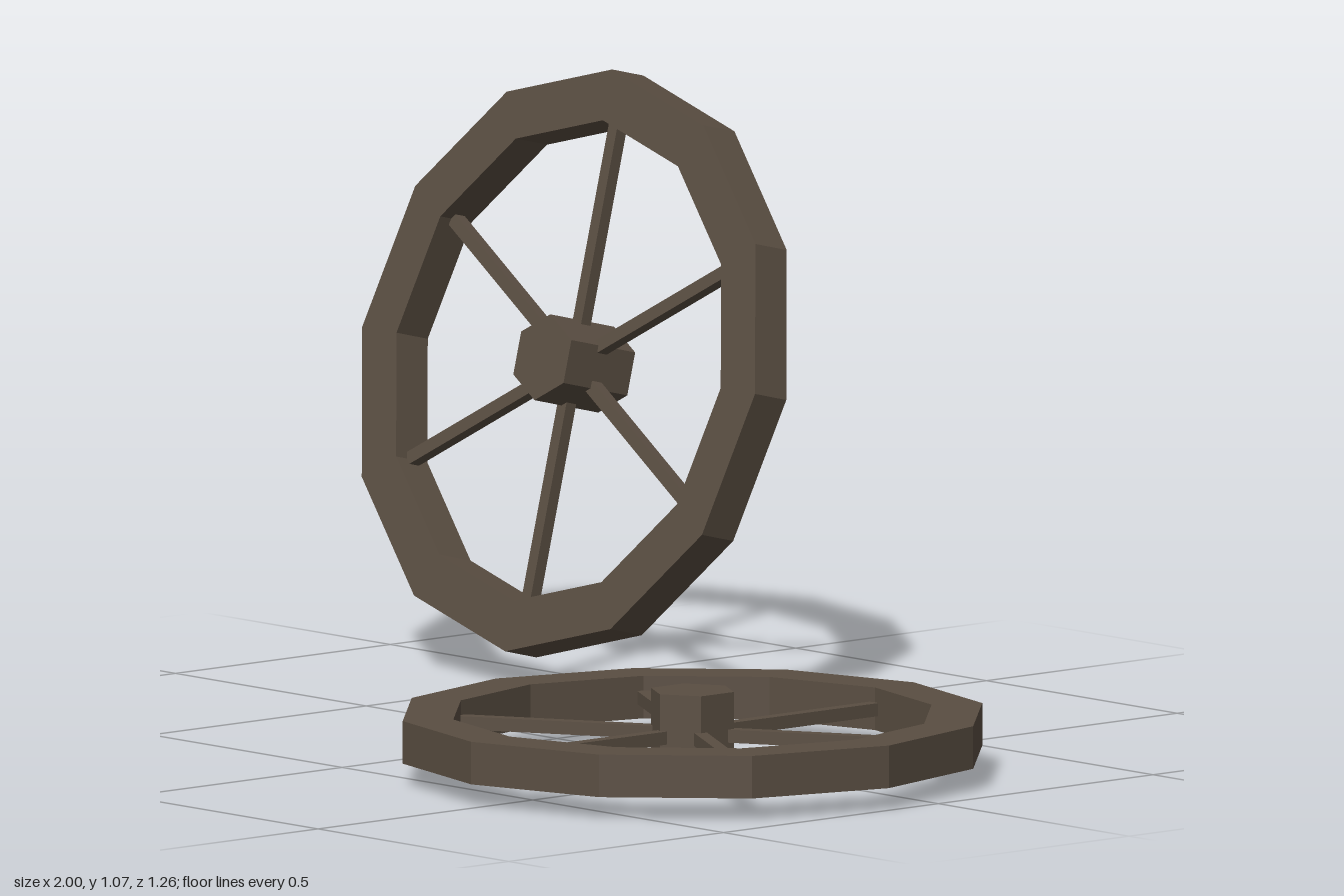
import * as THREE from 'three';

const SIDES = 12, OUTER = 0.515, INNER = 0.425, THICK = 0.075;

// Regular polygon points with a corner on each axis
function ring(radius) {
  return Array.from({ length: SIDES }, (_, i) => {
    const a = (i / SIDES) * Math.PI * 2;
    return new THREE.Vector2(Math.cos(a) * radius, Math.sin(a) * radius);
  });
}

// One wheel lying flat, its axle along y
function createWheel(name, material) {
  const wheel = new THREE.Group();
  wheel.name = name;
  const add = (geometry, partName) => {
    const mesh = new THREE.Mesh(geometry, material);
    mesh.name = partName;
    wheel.add(mesh);
    return mesh;
  };

  // Twelve-sided rim
  const shape = new THREE.Shape(ring(OUTER));
  shape.holes.push(new THREE.Path(ring(INNER).reverse()));
  const rim = new THREE.ExtrudeGeometry(shape, { depth: THICK, bevelEnabled: false });
  rim.translate(0, 0, -THICK / 2).rotateX(-Math.PI / 2);
  add(rim, 'rim');

  // Hexagonal hub
  add(new THREE.CylinderGeometry(0.076, 0.076, 0.153, 6), 'hub');

  // Six square spokes running from the hub into the rim
  for (let i = 0; i < 6; i++) {
    const spoke = new THREE.BoxGeometry(0.023, 0.023, 0.39).translate(0, 0, 0.24);
    add(spoke, 'spoke').rotation.y = (i * Math.PI) / 3;
  }
  return wheel;
}

export function createModel() {
  const model = new THREE.Group();
  model.name = 'wheelPair';
  const wood = new THREE.MeshStandardMaterial({ color: 0x5a4e42, flatShading: true });
  wood.name = 'weatheredWood';

  // Wheel resting on its hub
  const flat = createWheel('flatWheel', wood);
  flat.position.set(0.485, 0.0765, 0.115);

  // Wheel standing up and leaning back
  const leaning = createWheel('leaningWheel', wood);
  leaning.position.set(-0.485, 0.557, -0.471);
  leaning.rotation.x = THREE.MathUtils.degToRad(76);

  model.add(flat, leaning);
  return model;
}
